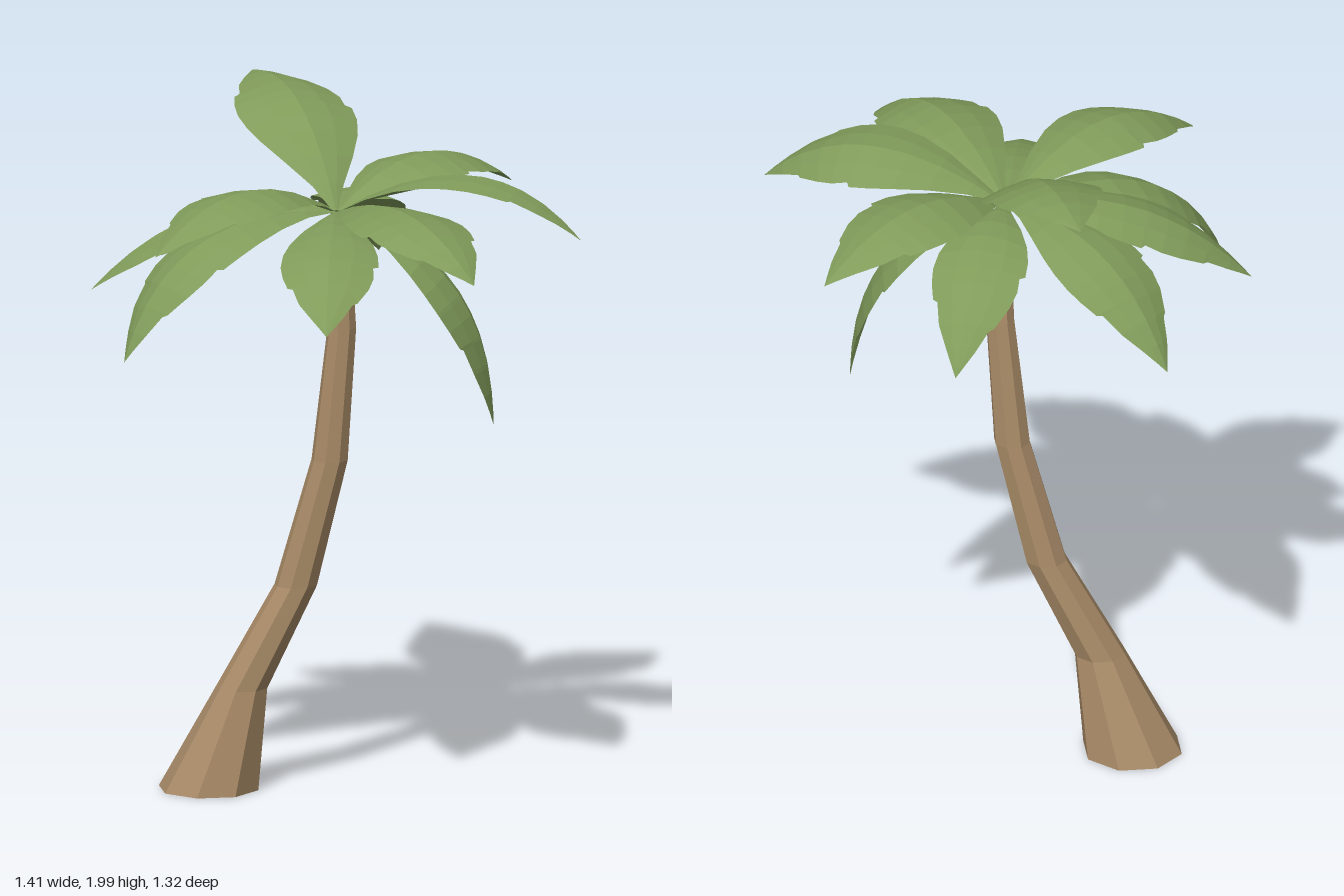
import * as THREE from 'three';

const leafGreen = new THREE.MeshStandardMaterial({ color: 0x809b5a, flatShading: true, side: THREE.DoubleSide });
const barkBrown = new THREE.MeshStandardMaterial({ color: 0xab8d69, flatShading: true });
leafGreen.name = 'leafGreen';
barkBrown.name = 'barkBrown';

// Trunk rings from the ground up: [x, y, z, radius]
const TRUNK = [
  [-0.402, 0, -0.05, 0.146], [-0.305, 0.3, -0.051, 0.075], [-0.155, 0.6, -0.088, 0.062],
  [-0.057, 0.97, -0.094, 0.053], [-0.02, 1.36, -0.089, 0.042], [-0.017, 1.62, -0.068, 0.028],
  [-0.022, 1.7, -0.057, 0.018],
];

const vec = (x, y, z) => new THREE.Vector3(x, y, z);
const CROWN = vec(-0.025, 1.71, -0.045);

// Fronds: point halfway along the spine, tip, half width, roll about the spine
const FRONDS = [
  { mid: vec(0.38, 1.835, -0.04), tip: vec(0.705, 1.67, 0.005), width: 0.15, roll: 0.18 },
  { mid: vec(0.27, 1.79, 0.31), tip: vec(0.51, 1.64, 0.515), width: 0.165, roll: 0 },
  { mid: vec(0.05, 1.68, 0.36), tip: vec(0.11, 1.5, 0.657), width: 0.14, roll: 0 },
  { mid: vec(-0.22, 1.83, 0.3), tip: vec(-0.41, 1.69, 0.58), width: 0.15, roll: 0 },
  { mid: vec(-0.36, 1.66, 0.27), tip: vec(-0.53, 1.35, 0.46), width: 0.145, roll: 0 },
  { mid: vec(-0.4, 1.7, 0.04), tip: vec(-0.707, 1.48, 0.125), width: 0.155, roll: 0 },
  { mid: vec(-0.37, 1.68, -0.24), tip: vec(-0.6, 1.42, -0.39), width: 0.15, roll: 0 },
  { mid: vec(-0.2, 1.955, -0.325), tip: vec(-0.41, 1.975, -0.635), width: 0.172, roll: 0 },
  { mid: vec(-0.04, 1.7, -0.38), tip: vec(-0.045, 1.46, -0.658), width: 0.135, roll: 0 },
  { mid: vec(0.165, 1.825, -0.355), tip: vec(0.35, 1.69, -0.635), width: 0.16, roll: 0 },
  { mid: vec(0.32, 1.5, -0.05), tip: vec(0.43, 1.1, -0.07), width: 0.16, roll: 0 },
];

// Rows along a frond, points across it, and where each edge is torn
const ALONG = [0, 0.1, 0.22, 0.34, 0.44, 0.53, 0.545, 0.62, 0.7, 0.712, 0.8, 0.815, 0.9, 0.96, 1];
const ACROSS = [-1, -0.5, 0, 0.5, 1];
const TEARS = [[0.53, 0.8], [0.7]];
const FOLD = 0.26;

// Edge distance: a pointed oval that steps inward after each tear and recovers
function edgeWidth(t, tears) {
  const oval = Math.max(0.05 * (1 - t), Math.sin(Math.PI * t ** 1.05));
  const tear = tears.find((cut) => t > cut && t < cut + 0.12);
  return tear === undefined ? oval : oval * (0.88 + 0.12 * (t - tear) / 0.12);
}

// A broad folded blade swept along an arching spine
function frondGeometry({ mid, tip, width, roll }, flip) {
  const dir = tip.clone().sub(CROWN).setY(0).normalize();
  const base = CROWN.clone().addScaledVector(dir, 0.008);
  const control = mid.clone().multiplyScalar(2).addScaledVector(base, -0.5).addScaledVector(tip, -0.5);
  const spine = new THREE.QuadraticBezierCurve3(base, control, tip);
  const flatSide = dir.cross(vec(0, 1, 0));
  const positions = [], index = [], cols = ACROSS.length;
  ALONG.forEach((t, r) => {
    const centre = spine.getPoint(t);
    const tangent = spine.getTangent(t);
    const side = flatSide.clone().applyAxisAngle(tangent, -roll);
    const normal = side.clone().cross(tangent).normalize();
    ACROSS.forEach((u, c) => {
      const half = width * edgeWidth(t, TEARS[(u < 0) !== flip ? 0 : 1]);
      const drop = FOLD * half * Math.abs(u) ** 1.4;
      const v = centre.clone().addScaledVector(side, u * half).addScaledVector(normal, -drop);
      positions.push(v.x, v.y, v.z);
      if (r > 0 && c > 0) {
        const d = r * cols + c, b = d - cols;
        index.push(b - 1, b, d - 1, b, d, d - 1);
      }
    });
  });
  const geo = new THREE.BufferGeometry();
  geo.setAttribute('position', new THREE.Float32BufferAttribute(positions, 3));
  geo.setIndex(index);
  geo.computeVertexNormals();
  return geo;
}

// Eight-sided leaning trunk: a cylinder whose rings follow the trunk table
function trunkGeometry() {
  const last = TRUNK.length - 1;
  const geo = new THREE.CylinderGeometry(1, 1, last, 8, last);
  const pos = geo.attributes.position;
  for (let i = 0; i < pos.count; i++) {
    const [x, y, z, r] = TRUNK[Math.round(pos.getY(i) + last / 2)];
    pos.setXYZ(i, x + pos.getX(i) * r, y, z + pos.getZ(i) * r);
  }
  geo.computeVertexNormals();
  return geo;
}

export function createModel() {
  const palm = new THREE.Group();
  palm.name = 'palmTree';

  const trunk = new THREE.Mesh(trunkGeometry(), barkBrown);
  trunk.name = 'trunk';
  palm.add(trunk);

  const crown = new THREE.Group();
  crown.name = 'crown';
  FRONDS.forEach((shape, i) => {
    const frond = new THREE.Mesh(frondGeometry(shape, i % 2 === 1), leafGreen);
    frond.name = `frond${i + 1}`;
    crown.add(frond);
  });
  palm.add(crown);
  return palm;
}
